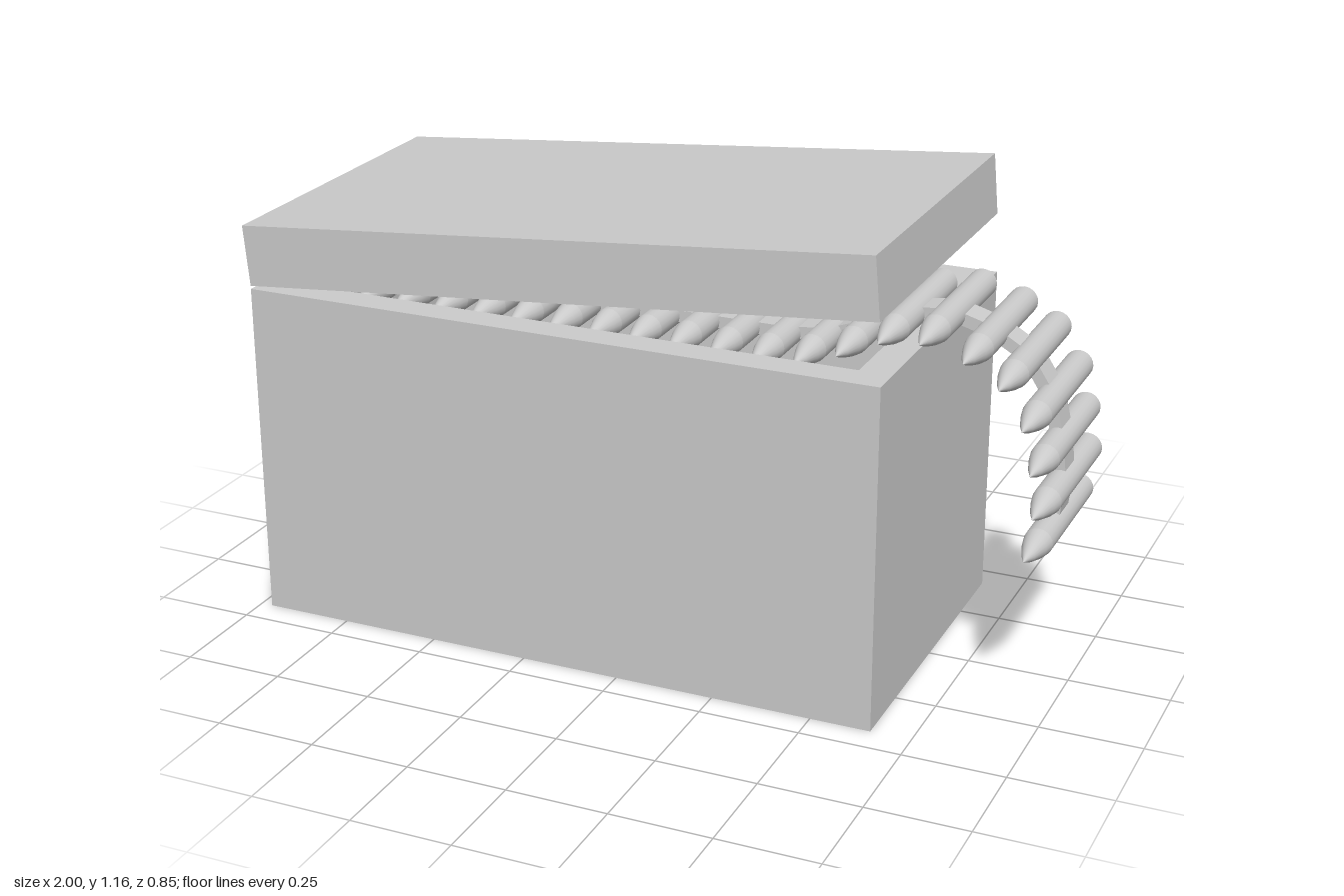
import * as THREE from 'three';

const mat = new THREE.MeshStandardMaterial({ color: 0xcccccc });
const LEN = 1.62, DEPTH = 0.854, WALL = 0.08, BOX_H = 0.855;

function add(parent, geo, name, x = 0, y = 0, z = 0) {
  const mesh = new THREE.Mesh(geo, mat);
  mesh.name = name;
  mesh.position.set(x, y, z);
  parent.add(mesh);
  return mesh;
}

function rectangle(path, x0, x1, z) {
  path.moveTo(x0, -z);
  path.lineTo(x1, -z);
  path.lineTo(x1, z);
  path.lineTo(x0, z);
  path.closePath();
  return path;
}

// Hollow rectangular frame, x from 0 to LEN, y from 0 to height
function frame(height) {
  const shape = rectangle(new THREE.Shape(), 0, LEN, DEPTH / 2);
  shape.holes.push(rectangle(new THREE.Path(), WALL, LEN - WALL, DEPTH / 2 - WALL));
  return new THREE.ExtrudeGeometry(shape, { depth: height, bevelEnabled: false }).rotateX(-Math.PI / 2);
}

export function createModel() {
  const root = new THREE.Group();
  root.name = 'ammunitionBox';

  // Box: floor slab and hollow walls
  const box = new THREE.Group();
  box.name = 'box';
  box.position.x = -0.97;
  root.add(box);
  add(box, new THREE.BoxGeometry(LEN, WALL, DEPTH), 'boxFloor', LEN / 2, WALL / 2);
  add(box, frame(BOX_H - WALL), 'boxWalls', 0, WALL);

  // Lid: plate with a shallow rim, tilted open about the hinge
  const lid = new THREE.Group();
  lid.name = 'lid';
  lid.position.set(-0.97, 0.863, 0);
  lid.rotation.z = 0.088;
  root.add(lid);
  const rim = 0.047, plate = 0.105;
  add(lid, frame(rim), 'lidRim');
  add(lid, new THREE.BoxGeometry(LEN, plate, DEPTH), 'lidPlate', LEN / 2, rim + plate / 2);

  // Hinge barrels
  for (const side of [-1, 1]) {
    const barrel = new THREE.CylinderGeometry(0.027, 0.027, 0.19, 16).rotateX(Math.PI / 2);
    add(root, barrel, 'hinge', -0.973, 0.862, side * 0.193);
  }

  // Cartridge belt: hangs over the edge, then lies along the inside of the box
  const centres = [
    [0.945, 0.415], [0.96, 0.523], [0.95, 0.627], [0.926, 0.73], [0.868, 0.82],
    [0.783, 0.87], [0.68, 0.9], [0.582, 0.888], [0.482, 0.843], [0.38, 0.807],
  ];
  for (let x = 0.275; x > -0.85; x -= 0.105) centres.push([x, 0.795]);

  const belt = new THREE.Group();
  belt.name = 'cartridgeBelt';
  root.add(belt);
  const R = 0.035;
  const body = new THREE.CylinderGeometry(R, R, 0.35, 20).rotateX(Math.PI / 2);
  const tip = new THREE.LatheGeometry(
    [[R, 0], [0.029, 0.034], [0.016, 0.08], [0, 0.12]].map(p => new THREE.Vector2(...p)), 20
  ).rotateX(Math.PI / 2);

  // Flat link between two points of the belt
  const link = ([x0, y0], [x1, y1]) => {
    const dx = x1 - x0, dy = y1 - y0;
    const geo = new THREE.BoxGeometry(Math.hypot(dx, dy), 0.03, 0.074);
    add(belt, geo, 'link', (x0 + x1) / 2, (y0 + y1) / 2, -0.002).rotation.z = Math.atan2(dy, dx);
  };

  link([0.94, 0.367], centres[0]);
  centres.forEach(([x, y], i) => {
    const cartridge = new THREE.Group();
    cartridge.name = 'cartridge';
    cartridge.position.set(x, y, 0);
    add(cartridge, body, 'casing', 0, 0, -0.035);
    add(cartridge, tip, 'bulletTip', 0, 0, 0.14);
    belt.add(cartridge);
    if (i > 0) link(centres[i - 1], centres[i]);
  });
  return root;
}
